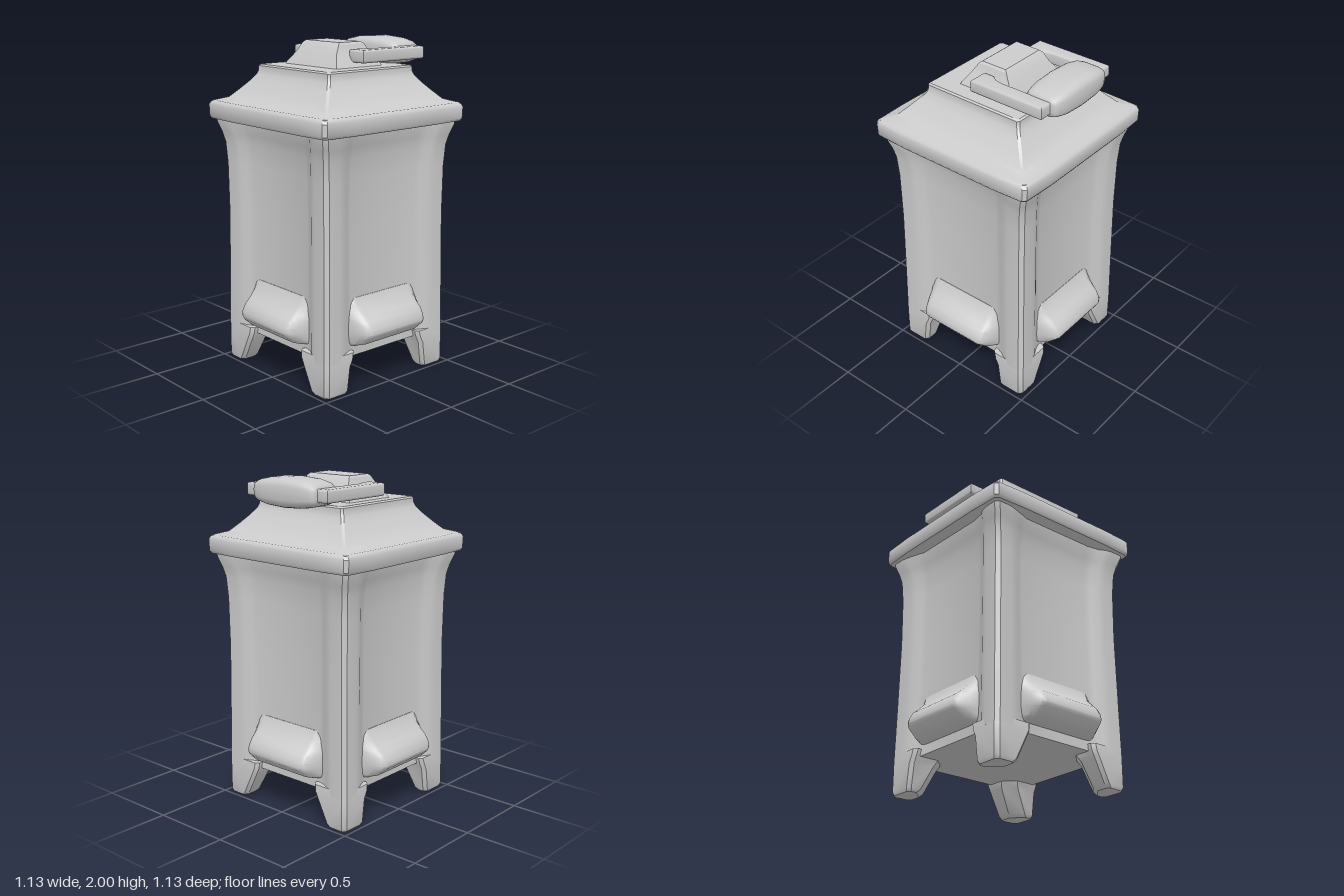
import * as THREE from 'three';
import { toCreasedNormals } from 'three/addons/utils/BufferGeometryUtils.js';

const material = new THREE.MeshStandardMaterial({ color: 0xcccccc });

// Skin a list of equal-length rings ([x, y, z] corners) and cap both ends
function loft(rings, crease = 0.6) {
  const tris = [];
  const n = rings[0].length;
  const centre = (ring) => [0, 1, 2].map((k) => ring.reduce((s, p) => s + p[k], 0) / n);
  const first = rings[0], last = rings[rings.length - 1];
  const c0 = centre(first), c1 = centre(last);
  for (let j = 0; j < n; j++) {
    const k = (j + 1) % n;
    for (let i = 0; i < rings.length - 1; i++) {
      const a = rings[i], b = rings[i + 1];
      tris.push([a[j], a[k], b[k]], [a[j], b[k], b[j]]);
    }
    tris.push([c0, first[k], first[j]], [c1, last[j], last[k]]);
  }
  // Turn the faces outward whichever way the rings run
  const volume = tris.reduce((s, [a, b, c]) => s
    + a[0] * (b[1] * c[2] - b[2] * c[1])
    + a[1] * (b[2] * c[0] - b[0] * c[2])
    + a[2] * (b[0] * c[1] - b[1] * c[0]), 0);
  const points = tris.flatMap((t) => (volume < 0 ? [t[0], t[2], t[1]] : t)).flat();
  const geometry = new THREE.BufferGeometry();
  geometry.setAttribute('position', new THREE.Float32BufferAttribute(points, 3));
  geometry.computeVertexNormals();
  return toCreasedNormals(geometry, crease);
}

// Square ring with chamfered corners, edges swelling slightly at mid side
function squareRing(y, h, c = 0.015, swell = 0) {
  const ring = [];
  for (let q = 0; q < 4; q++) {
    const cos = Math.round(Math.cos(q * Math.PI / 2)), sin = Math.round(Math.sin(q * Math.PI / 2));
    for (const [x, z] of [[h, -h + c], [h + swell, -h * 0.6], [h + swell, h * 0.6], [h, h - c]]) {
      ring.push([x * cos - z * sin, y, x * sin + z * cos]);
    }
  }
  return ring;
}

// Square ring with thick corner posts and recessed side panels
function postRing(y, s) {
  const side = [[0.425, -0.25], [0.425, 0], [0.425, 0.25], [0.44, 0.29], [0.463, 0.33],
    [0.472, 0.37], [0.472, 0.45], [0.45, 0.472], [0.37, 0.472], [0.33, 0.463], [0.29, 0.44]];
  const ring = [];
  for (let q = 0; q < 4; q++) {
    const cos = Math.round(Math.cos(q * Math.PI / 2)), sin = Math.round(Math.sin(q * Math.PI / 2));
    // Offset outward rather than scale, so posts keep their width
    for (const [x, z] of side) {
      const px = x + s, pz = z + (Math.abs(z) > 0.3 ? s : 0);
      ring.push([px * cos - pz * sin, y, px * sin + pz * cos]);
    }
  }
  return ring;
}

export function createModel() {
  const model = new THREE.Group();
  const add = (name, geometry, parent = model) => {
    const mesh = new THREE.Mesh(geometry, material);
    mesh.name = name;
    parent.add(mesh);
    return mesh;
  };

  // Body with a flared top
  add('body', loft([[0.2, 0.006], [0.5, 0.002], [0.95, -0.003], [1.25, 0], [1.38, 0.008],
    [1.44, 0.022], [1.5, 0.042], [1.54, 0.045]].map(([y, s]) => postRing(y, s))));

  // Four legs, chamfered on the inside, continuing the posts
  for (const sx of [-1, 1]) for (const sz of [-1, 1]) {
    const section = (y, ix, iz, o) => [
      [o, o - 0.022], [o - 0.022, o], [ix + 0.02, o], [ix, o - 0.02],
      [ix, iz + 0.07], [ix + 0.07, iz], [o - 0.02, iz], [o, iz + 0.02],
    ].map(([x, z]) => [x * sx, y, z * sz]);
    add('leg', loft([
      section(0, 0.31, 0.345, 0.47),
      section(0.02, 0.298, 0.325, 0.478),
      section(0.16, 0.28, 0.255, 0.478),
      section(0.2, 0.26, 0.235, 0.478),
      section(0.24, 0.25, 0.23, 0.474),
    ]));
  }

  // Bulging ledge low on each side
  const ledge = [[0.4, 0.56], [0.428, 0.55], [0.45, 0.5], [0.5, 0.45], [0.535, 0.42], [0.56, 0.38],
    [0.565, 0.35], [0.555, 0.33], [0.5, 0.28], [0.45, 0.262], [0.4, 0.255]];
  const slice = (x, f) => ledge.map(([d, y]) => [x, 0.36 + (y - 0.36) * (0.85 + 0.15 * f), 0.4 + (d - 0.4) * f]);
  for (let q = 0; q < 4; q++) {
    add('sideLedge', loft([slice(-0.275, 0.25), slice(-0.25, 0.65), slice(-0.225, 0.92), slice(-0.2, 1),
      slice(0.2, 1), slice(0.225, 0.92), slice(0.25, 0.65), slice(0.275, 0.25)], 0.7))
      .rotation.y = q * Math.PI / 2;
  }

  // Overhanging rim and concave hipped lid
  add('rim', loft([[1.515, 0.515], [1.52, 0.535], [1.535, 0.545], [1.605, 0.547], [1.62, 0.54], [1.63, 0.525]]
    .map(([y, h]) => squareRing(y, h, 0.02, 0.009))));
  add('lid', loft([[1.6, 0.53], [1.627, 0.53], [1.65, 0.458], [1.7, 0.41], [1.75, 0.366],
    [1.79, 0.337], [1.815, 0.328], [1.838, 0.328], [1.847, 0.318]].map(([y, h]) => squareRing(y, h, 0.012)), 0.5));

  // Raised block on the lid
  const block = (y, x, back, front) => [[-x, y, back], [x, y, back], [x, y, front], [-x, y, front]];
  add('lidBlock', loft([block(1.83, 0.185, -0.26, 0.225), block(1.86, 0.17, -0.245, 0.21),
    block(1.92, 0.132, -0.2, 0.165), block(1.975, 0.098, -0.18, 0.145), block(1.987, 0.082, -0.168, 0.133)], 0.4));

  // Carrying handle: two hooked arms and a barrel grip
  const handle = new THREE.Group();
  handle.name = 'handle';
  handle.position.set(0, 1.912, -0.02);
  model.add(handle);

  const bevel = 0.014;
  for (const side of [-1, 1]) {
    const outline = [[-0.038, 0.31], [0.45, 0.31], [0.45, 0.222], [0.12, 0.222],
      [0.07, 0.214], [0.04, 0.19], [-0.038, 0.19]];
    const inset = outline.map(([x, z], i) => new THREE.Vector2(
      x + (x < 0 ? bevel : i < 3 ? -bevel : x < 0.1 ? -bevel * 0.7 : 0),
      (z + (z > 0.3 ? -bevel : bevel)) * side));
    const arm = new THREE.ExtrudeGeometry(new THREE.Shape(inset), {
      depth: 0.076 - 2 * bevel, bevelThickness: bevel, bevelSize: bevel, bevelSegments: 3, curveSegments: 1,
    });
    arm.rotateX(Math.PI / 2).translate(0, 0.038 - bevel, 0);
    add('handleArm', toCreasedNormals(arm, 0.7), handle);
  }

  const gripRing = (z, rx, ry) => Array.from({ length: 28 }, (_, i) => {
    const a = i / 28 * Math.PI * 2;
    const soft = (v) => Math.sign(v) * Math.abs(v) ** 0.55;
    return [0.383 + rx * soft(Math.cos(a)), ry * soft(Math.sin(a)), z];
  });
  add('handleGrip', loft([[-0.235, 0.07, 0.035], [-0.226, 0.098, 0.055], [-0.2, 0.109, 0.066], [-0.13, 0.119, 0.08],
    [0, 0.122, 0.088], [0.13, 0.119, 0.08], [0.2, 0.109, 0.066], [0.226, 0.098, 0.055], [0.235, 0.07, 0.035]]
    .map((r) => gripRing(...r)), 0.9), handle);

  return model;
}
